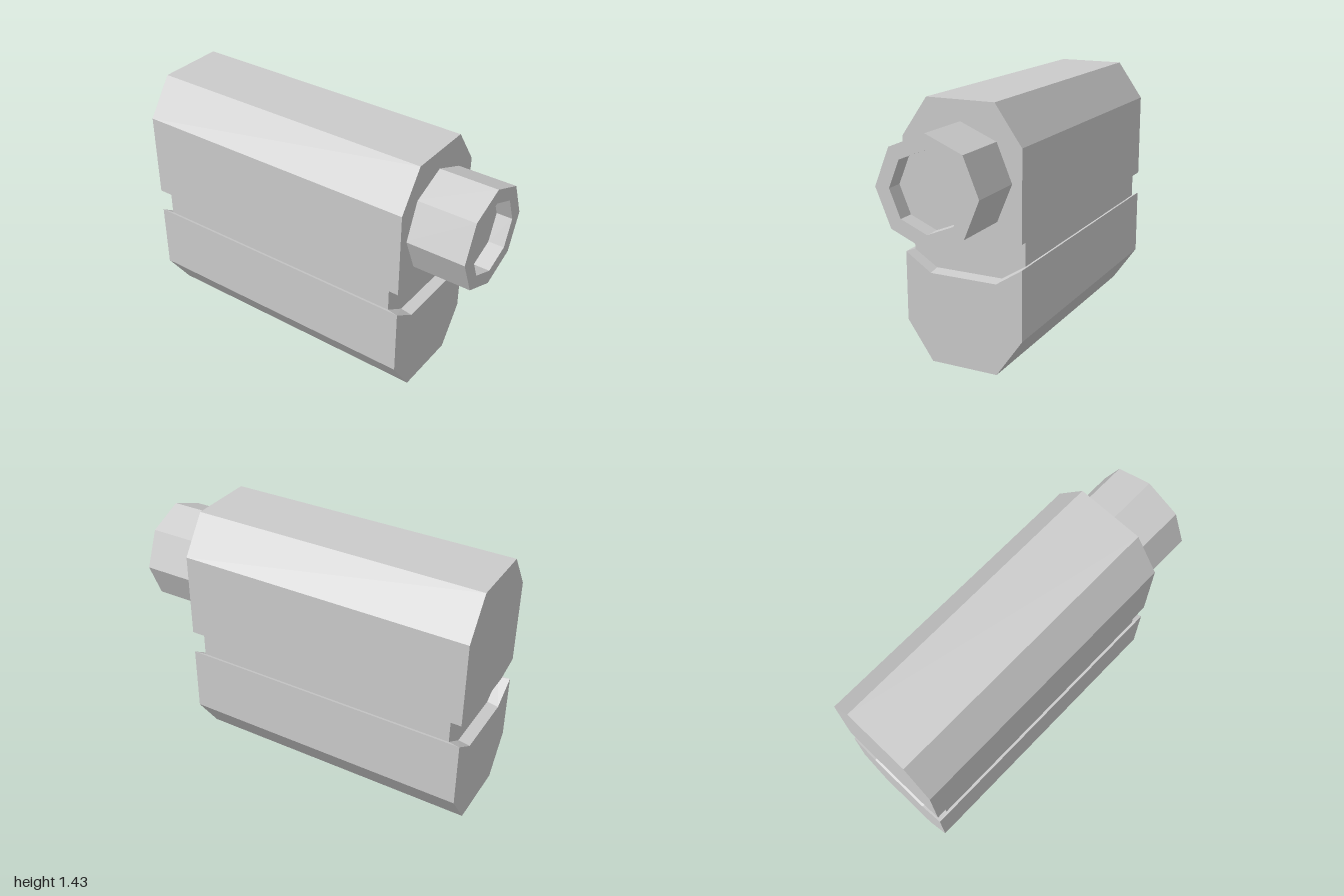
import * as THREE from 'three';

const grey = () => new THREE.MeshStandardMaterial({ color: 0xcccccc, flatShading: true });

// Eight-point ring around the body: outer corners (xo, yo) and inner corners (xi, yi), front and back
function ring([xo, yo, yi, zf, zb]) {
  const xi = 0.193;
  const front = [[-xo, yo, zf], [-xi, yi, zf], [xi, yi, zf], [xo, yo, zf]];
  const back = front.map(([x, y]) => [-x, y, zb]);
  return [...front, ...back];
}

function loft(sections) {
  const rings = sections.map(ring);
  const pos = [];
  const same = (p, q) => p.every((v, i) => Math.abs(v - q[i]) < 1e-6);
  const tri = (a, b, c) => {
    if (!same(a, b) && !same(b, c) && !same(c, a)) pos.push(...a, ...b, ...c);
  };
  for (let k = 0; k < rings.length - 1; k++) {
    const lo = rings[k], up = rings[k + 1];
    for (let i = 0; i < 8; i++) {
      const j = (i + 1) % 8;
      tri(lo[i], lo[j], up[j]);
      tri(lo[i], up[j], up[i]);
    }
  }
  // flat bottom and top
  const b = rings[0], t = rings[rings.length - 1];
  tri(b[1], b[5], b[2]);
  tri(b[1], b[6], b[5]);
  tri(t[1], t[2], t[5]);
  tri(t[1], t[5], t[6]);
  const g = new THREE.BufferGeometry();
  g.setAttribute('position', new THREE.Float32BufferAttribute(pos, 3));
  g.computeVertexNormals();
  return g;
}

export function createModel() {
  const model = new THREE.Group();
  model.name = 'muzzleBlock';

  // Body with bevelled top and bottom and a recessed groove all round
  const F = 0.67, B = -1, gF = 0.605, gB = -0.935;
  const body = new THREE.Mesh(loft([
    [0.193, 0, 0, F, B],
    [0.342, 0.215, 0.1, F, B],
    [0.342, 0.6, 0.502, F, B],
    [0.327, 0.597, 0.513, gF, gB],
    [0.327, 0.725, 0.692, gF, gB],
    [0.342, 0.735, 0.699, F, B],
    [0.342, 1.22, 1.3, F, B],
    [0.193, 1.432, 1.432, F, B],
  ]), grey());
  body.name = 'body';
  model.add(body);

  // Eight-sided barrel with a shallow recessed mouth
  const profile = [[0.287, 0.66], [0.287, 1], [0.207, 1], [0.207, 0.91], [0, 0.91]]
    .map(([r, z]) => new THREE.Vector2(r, z));
  const barrelGeometry = new THREE.LatheGeometry(profile, 8).rotateX(Math.PI / 2);
  const barrel = new THREE.Mesh(barrelGeometry, grey());
  barrel.name = 'barrel';
  barrel.position.y = 1.037;
  model.add(barrel);

  return model;
}
